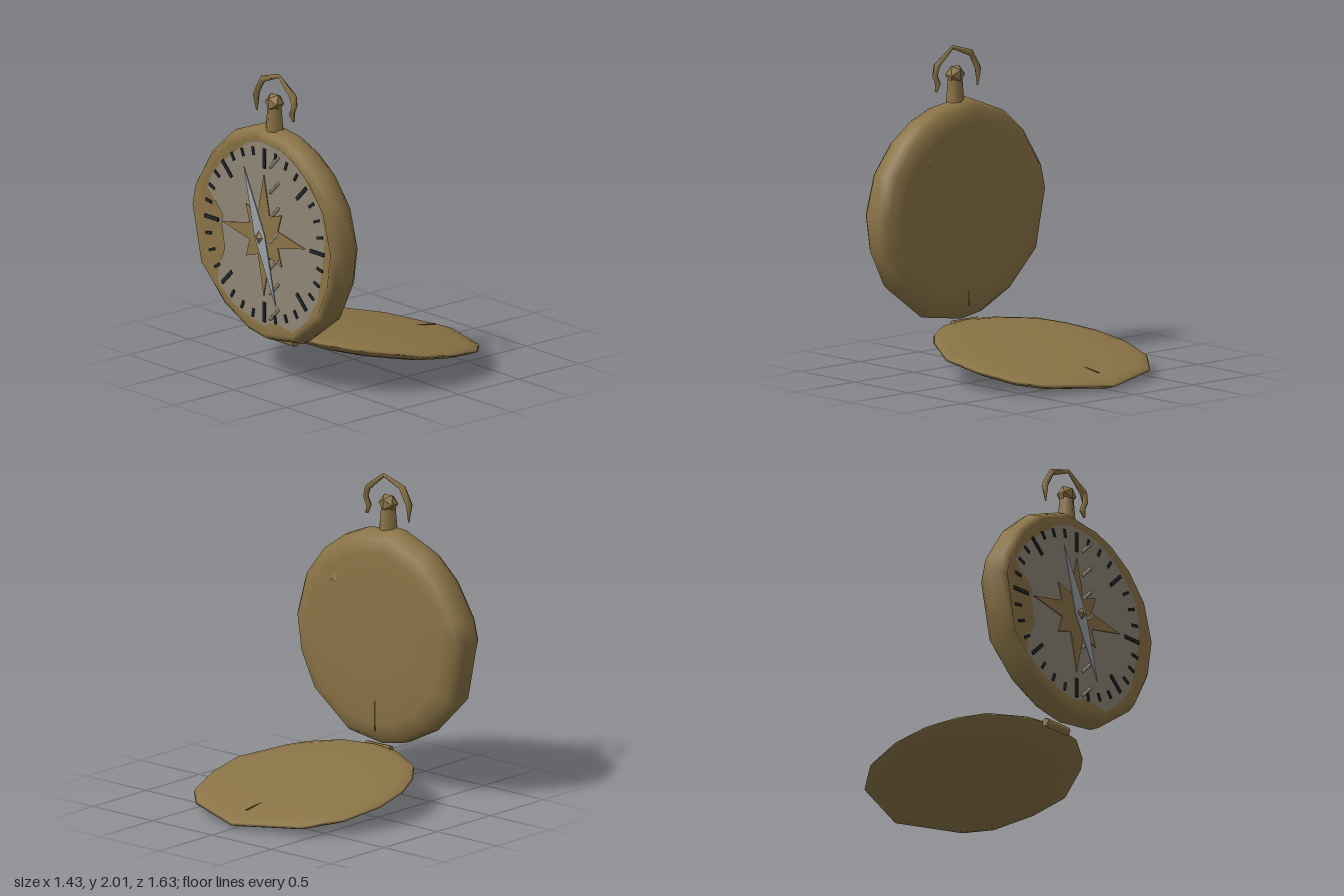
import * as THREE from 'three';

const mat = (name, color) => Object.assign(new THREE.MeshStandardMaterial({ color }), { name });

// Closed skin over rings of points, counter-clockwise about the direction of travel
function loft(rings) {
  const n = rings[0].length, pos = [], idx = [];
  rings.forEach(r => r.forEach(p => pos.push(p.x, p.y, p.z)));
  for (let k = 0; k < rings.length - 1; k++) {
    for (let i = 0; i < n; i++) {
      const a = k * n + i, b = k * n + (i + 1) % n;
      idx.push(a, b, b + n, a, b + n, a + n);
    }
  }
  [0, rings.length - 1].forEach((k, end) => {
    const c = rings[k].reduce((s, p) => s.add(p), new THREE.Vector3()).divideScalar(n);
    const ci = pos.length / 3;
    pos.push(c.x, c.y, c.z);
    for (let i = 0; i < n; i++) {
      const a = k * n + i, b = k * n + (i + 1) % n;
      idx.push(ci, ...(end ? [a, b] : [b, a]));
    }
  });
  const g = new THREE.BufferGeometry();
  g.setAttribute('position', new THREE.Float32BufferAttribute(pos, 3));
  g.setIndex(idx);
  g.computeVertexNormals();
  return g;
}

const polygon = pts => new THREE.Shape(pts.map(p => new THREE.Vector2(p[0], p[1])));

export function createModel() {
  const group = new THREE.Group();
  const brass = mat('brass', 0x8a7346);
  const dialGrey = mat('dialGrey', 0x8f8676);
  const steel = mat('steel', 0x9ba1a7);
  const black = mat('black', 0x23272a);
  const CY = 0.952;

  const add = (name, geo, material, x = 0, y = 0, z = 0, parent = group) => {
    const m = new THREE.Mesh(geo, material);
    m.name = name;
    m.position.set(x, y, z);
    parent.add(m);
    return m;
  };

  // Case: an uneven round outline swept from back to front
  const caseOutline = [[-0.09, 1.655], [0.17, 1.62], [0.32, 1.56], [0.49, 1.44], [0.64, 1.25], [0.715, 0.98],
    [0.68, 0.74], [0.56, 0.5], [0.28, 0.29], [0, 0.25], [-0.17, 0.28], [-0.41, 0.4], [-0.63, 0.62],
    [-0.712, 1.02], [-0.68, 1.16], [-0.53, 1.4], [-0.36, 1.55]].reverse();
  const caseRings = [[0.5, 0.526], [0.8, 0.53], [0.93, 0.55], [0.99, 0.6], [1, 0.67], [0.965, 0.73],
    [0.92, 0.77], [0.865, 0.738], [0.5, 0.736]].map(([s, z]) => caseOutline.map(([x, y]) => {
    const lower = THREE.MathUtils.clamp((0.75 - y) / 0.4, 0, 1);
    return new THREE.Vector3(x * s, CY + (y - CY) * s, z > 0.75 ? z - 0.022 * lower : z);
  }));
  add('case', loft(caseRings), brass);

  // Small stud and seam on the back
  const stud = add('backStud', new THREE.ConeGeometry(0.06, 0.025, 3), brass, 0.34, 1.28, 0.522);
  stud.rotation.x = -Math.PI / 2;
  add('backSeam', new THREE.BoxGeometry(0.008, 0.42, 0.006), brass, 0, 0.56, 0.53);

  // Dial face with a ragged edge
  const dialOutline = [[-0.08, 1.55], [0, 1.555], [0.25, 1.52], [0.36, 1.43], [0.53, 1.25], [0.57, 1.12],
    [0.57, 1.02], [0.55, 0.85], [0.5, 0.62], [0.4, 0.48], [0.28, 0.37], [0.1, 0.4], [0, 0.36], [-0.12, 0.38],
    [-0.3, 0.44], [-0.45, 0.55], [-0.43, 0.66], [-0.38, 0.78], [-0.41, 0.93], [-0.4, 1], [-0.55, 1.15],
    [-0.5, 1.24], [-0.4, 1.35], [-0.17, 1.52]];
  add('dial', new THREE.ShapeGeometry(polygon(dialOutline)), dialGrey, 0, 0, 0.743);

  // Ring of direction ticks, every fourth one long
  const ticks = new THREE.Group();
  ticks.name = 'ticks';
  group.add(ticks);
  for (let i = 0; i < 32; i++) {
    const a = i * Math.PI / 16, long = i % 4 === 0, len = long ? 0.13 : 0.055, r = 0.568 - len / 2;
    const t = add('tick', new THREE.BoxGeometry(len, long ? 0.024 : 0.018, 0.009), black,
      r * Math.cos(a), CY + r * Math.sin(a), 0.746, ticks);
    t.rotation.z = a;
  }

  // Column of slanted marks
  for (let i = 0; i < 7; i++) {
    const m = add('slantedMark', new THREE.CapsuleGeometry(0.011, 0.105, 2, 6), dialGrey,
      0.095, 1.45 - i * 0.166, 0.744);
    m.rotation.z = -Math.PI / 4;
  }

  // Eight-pointed star
  const star = [];
  for (let i = 0; i < 16; i++) {
    const a = i * Math.PI / 8, r = i % 2 ? 0.145 : i % 4 ? 0.24 : 0.395;
    star.push([r * Math.cos(a), r * Math.sin(a)]);
  }
  add('star', new THREE.ExtrudeGeometry(polygon(star), { depth: 0.006, bevelEnabled: false }), brass, 0, CY, 0.745);

  // Needle and its pivot
  const needle = polygon([[0, 0.45], [-0.05, 0], [0, -0.45], [0.05, 0]]);
  add('needle', new THREE.ExtrudeGeometry(needle, { depth: 0.008, bevelEnabled: false }), steel, 0, CY, 0.777)
    .rotation.z = 0.343;
  add('pivot', new THREE.OctahedronGeometry(0.042), brass, 0, CY - 0.005, 0.79).scale.set(0.85, 1, 0.55);

  // Crown stem and knob
  add('crownStem', new THREE.CylinderGeometry(0.045, 0.06, 0.18, 6), brass, 0, 1.71, 0.66);
  add('crownKnob', new THREE.IcosahedronGeometry(0.066), brass, 0, 1.805, 0.66).scale.set(1, 1, 0.9);

  // Open bow over the crown: tapered band with [x, y, half width, half depth]
  const bow = [[-0.18, 1.715, 0.005, 0.006], [-0.185, 1.825, 0.024, 0.03], [-0.125, 1.93, 0.022, 0.03],
    [0.03, 1.985, 0.014, 0.012], [0.165, 1.88, 0.02, 0.03], [0.18, 1.82, 0.022, 0.024],
    [0.155, 1.765, 0.022, 0.026], [0.172, 1.715, 0.012, 0.01]];
  const zAxis = new THREE.Vector3(0, 0, 1);
  const bowRings = bow.map(([x, y, w, d], i) => {
    const p = bow[Math.max(i - 1, 0)], q = bow[Math.min(i + 1, bow.length - 1)];
    const t = new THREE.Vector3(q[0] - p[0], q[1] - p[1], 0).normalize();
    const n = zAxis.clone().cross(t).multiplyScalar(w), z = zAxis.clone().multiplyScalar(d);
    const c = new THREE.Vector3(x, y, 0.65);
    return [c.clone().add(n), c.clone().add(z), c.clone().sub(n), c.clone().sub(z)];
  });
  add('bow', loft(bowRings), brass);

  // Hinge under the case
  const hinge = add('hinge', new THREE.CylinderGeometry(0.028, 0.028, 0.2, 7), brass, 0, 0.235, 0.57);
  hinge.rotation.set(0, 0, Math.PI / 2);

  // Open lid: lens-shaped shell sloping down to the back, outline as [x, z]
  const lidOutline = [[0, -0.82], [0.44, -0.66], [0.58, -0.52], [0.665, -0.26], [0.68, 0], [0.52, 0.29],
    [0.43, 0.39], [0.25, 0.51], [0, 0.55], [-0.2, 0.52], [-0.45, 0.4], [-0.57, 0.25], [-0.655, 0.06],
    [-0.68, -0.18], [-0.62, -0.45], [-0.45, -0.66]].reverse();
  const lidHeight = z => 0.02 + (z + 0.82) * 0.17;
  const lidRings = [[0.4, -0.078], [0.7, -0.065], [0.9, -0.035], [1, -0.005], [0.99, 0.01], [0.9, 0.026],
    [0.6, 0.04], [0.3, 0.045]].map(([s, h]) => lidOutline.map(([x, z]) => {
    const zz = -0.13 + (z + 0.13) * s;
    return new THREE.Vector3(x * s, lidHeight(zz) + h, zz);
  }));
  add('lid', loft(lidRings), brass);

  // Seam on the lid
  const seam = add('lidSeam', new THREE.BoxGeometry(0.008, 0.006, 0.42), brass, 0, lidHeight(-0.47) + 0.036, -0.47);
  seam.rotation.x = -0.14;

  return group;
}
